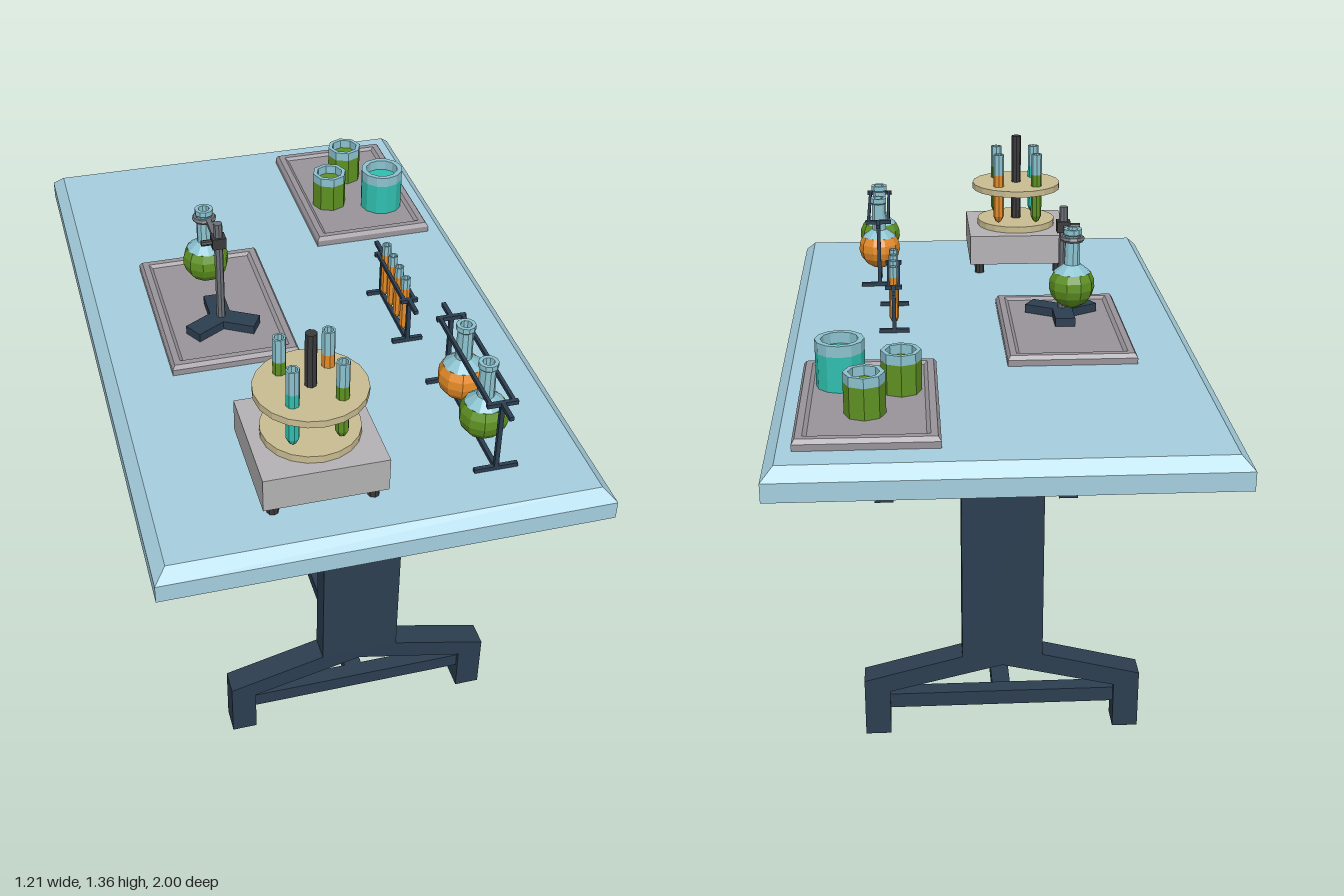
import * as THREE from 'three';

const mat = (color, double = false) => new THREE.MeshStandardMaterial({
  color, flatShading: true, side: double ? THREE.DoubleSide : THREE.FrontSide });
const M = {
  top: mat(0xa6cfdf), leg: mat(0x2c3e50), tray: mat(0x98949a), box: mat(0xb4b2b4),
  wood: mat(0xcabd92), dark: mat(0x3a3a3c), steel: mat(0x6c7076), glass: mat(0x8cc3d0, true),
  green: mat(0x5f9222), teal: mat(0x30c0b0), orange: mat(0xe58c28),
};
const TOP = 0.925; // work surface height

function add(parent, name, geo, material, x = 0, y = 0, z = 0) {
  const m = new THREE.Mesh(geo, material);
  m.name = name;
  m.position.set(x, y, z);
  parent.add(m);
  return m;
}
function group(parent, name, x = 0, y = 0, z = 0) {
  const g = new THREE.Group();
  g.name = name;
  g.position.set(x, y, z);
  parent.add(g);
  return g;
}
const box = (w, h, d) => new THREE.BoxGeometry(w, h, d);
const cyl = (r, h, n = 8) => new THREE.CylinderGeometry(r, r, h, n);
const lathe = (pts, n) => new THREE.LatheGeometry(pts.map(p => new THREE.Vector2(...p)), n);

// Rectangular loops [halfX, halfZ, y] joined into a closed skin
function rectLoft(levels) {
  const pos = [], idx = [];
  for (const [hx, hz, y] of levels) pos.push(-hx, y, hz, hx, y, hz, hx, y, -hz, -hx, y, -hz);
  const last = (levels.length - 1) * 4;
  for (let b = 0; b < last; b += 4) {
    for (let i = 0; i < 4; i++) {
      const j = (i + 1) % 4;
      idx.push(b + i, b + j, b + 4 + j, b + i, b + 4 + j, b + 4 + i);
    }
  }
  idx.push(0, 2, 1, 0, 3, 2, last, last + 1, last + 2, last, last + 2, last + 3);
  const g = new THREE.BufferGeometry();
  g.setAttribute('position', new THREE.Float32BufferAttribute(pos, 3));
  g.setIndex(idx);
  const flat = g.toNonIndexed();
  flat.computeVertexNormals();
  return flat;
}

// Trestle end: arched foot and slightly tapering column
function trestleGeometry() {
  const half = [[0.38, 0], [0.38, 0.17], [0.11, 0.24], [0.11, 0.845]];
  const arch = [[0, 0.21], [0.31, 0.135], [0.31, 0]];
  const pts = [...arch, ...half, ...half.slice().reverse().map(([x, y]) => [-x, y]), [-0.31, 0], [-0.31, 0.135]];
  const g = new THREE.ExtrudeGeometry(new THREE.Shape(pts.map(p => new THREE.Vector2(...p))),
    { depth: 0.07, bevelEnabled: false });
  g.translate(0, 0, -0.035);
  const p = g.attributes.position;
  for (let i = 0; i < p.count; i++) {
    p.setZ(i, p.getZ(i) * (1 - 0.2 * Math.max(0, p.getY(i) - 0.24)));
  }
  g.computeVertexNormals();
  return g;
}

function tray(parent, x, z) {
  add(parent, 'tray', rectLoft([[0.186, 0.281, 0], [0.186, 0.281, 0.018], [0.178, 0.273, 0.03],
    [0.16, 0.255, 0.03], [0.15, 0.245, 0.022]]), M.tray, x, TOP, z);
}

// Round flask: filled bulb, clear shoulder, neck with lip. Origin at bulb centre
function flask(parent, liquid, x, y, z) {
  const g = group(parent, 'flask', x, y, z);
  const r = 0.068, a = Math.PI * 0.3;
  add(g, 'flaskLiquid', new THREE.SphereGeometry(r, 10, 6, 0, Math.PI * 2, a, Math.PI - a), liquid);
  add(g, 'liquidSurface', new THREE.CircleGeometry(r * Math.sin(a), 10).rotateX(-Math.PI / 2),
    liquid, 0, r * Math.cos(a));
  add(g, 'flaskNeck', lathe([[r * Math.sin(a), r * Math.cos(a)], [0.024, 0.064], [0.022, 0.15],
    [0.027, 0.155], [0.027, 0.17], [0.016, 0.17], [0.016, 0.06]], 10), M.glass);
}

// Test tube with its rounded tip at y = 0
function testTube(parent, liquid, r, h, fill, x, y, z) {
  const g = group(parent, 'testTube', x, y, z);
  add(g, 'tubeLiquid', lathe([[0, 0], [r * 0.6, r * 0.4], [r, r * 1.3], [r, fill], [0, fill]], 8), liquid);
  add(g, 'tubeGlass', lathe([[r, fill], [r, h], [r * 0.7, h], [r * 0.7, fill]], 8), M.glass);
}

function beaker(parent, liquid, r, h, n, x, z) {
  const g = group(parent, 'beaker', x, TOP + 0.022, z);
  const fill = h * 0.76;
  add(g, 'beakerLiquid', lathe([[0, 0], [r, 0], [r, fill], [0, fill]], n), liquid);
  add(g, 'beakerGlass', lathe([[r, fill], [r, h], [r * 0.76, h], [r * 0.76, fill]], n), M.glass);
}

// Wire rack: feet, uprights, paired rails and end handles
function rack(parent, x, z, len, h, foot, railGap, handle) {
  const g = group(parent, 'rack', x, TOP, z);
  const t = 0.012;
  add(g, 'bottomRail', box(t, t, len), M.leg, 0, t / 2, 0);
  for (const s of [-1, 1]) {
    add(g, 'foot', box(foot * 2, t, t), M.leg, 0, t / 2, s * len / 2);
    add(g, 'upright', box(t, h, t), M.leg, 0, h / 2, s * len / 2);
    add(g, 'crossbar', box(railGap * 2 + 0.02, t, t), M.leg, 0, h, s * len / 2);
    add(g, 'topRail', box(t * 0.8, t, len), M.leg, s * railGap, h, 0);
    add(g, 'handle', box(t, t, handle), M.leg, 0, h, s * (len + handle) / 2);
  }
}

export function createModel() {
  const model = new THREE.Group();
  model.name = 'laboratoryTable';

  // Table
  add(model, 'tableTop', rectLoft([[0.605, 1, 0.84], [0.605, 1, 0.892], [0.572, 0.967, TOP]]), M.top);
  const trestle = trestleGeometry();
  for (const s of [-1, 1]) {
    add(model, 'trestleLeg', trestle, M.leg, 0, 0, s * 0.725);
    add(model, 'footCrossbar', box(0.63, 0.043, 0.045), M.leg, 0, 0.097, s * 0.725);
  }
  add(model, 'stretcher', box(0.05, 0.04, 1.42), M.leg, 0, 0.096, 0);

  // Tray with beakers
  tray(model, 0.348, -0.607);
  beaker(model, M.green, 0.055, 0.115, 8, 0.355, -0.703);
  beaker(model, M.green, 0.055, 0.115, 8, 0.26, -0.547);
  beaker(model, M.teal, 0.067, 0.132, 12, 0.424, -0.498);

  // Tray with clamp stand
  tray(model, -0.227, -0.052);
  const stand = group(model, 'clampStand', -0.232, TOP + 0.022, 0.04);
  for (let i = 0; i < 3; i++) {
    const arm = group(stand, 'standArm');
    arm.rotation.y = i * Math.PI * 2 / 3;
    add(arm, 'standFoot', box(0.06, 0.026, 0.11), M.leg, 0, 0.015, -0.055);
  }
  add(stand, 'standRod', cyl(0.013, 0.34), M.steel, 0, 0.173, 0);
  add(stand, 'clampBlock', box(0.04, 0.034, 0.036), M.dark, 0, 0.283, 0);
  add(stand, 'clampArm', box(0.014, 0.014, 0.12), M.steel, -0.005, 0.283, -0.06);
  add(stand, 'clampScrew', cyl(0.009, 0.05).rotateZ(Math.PI / 2), M.dark, -0.025, 0.283, 0);
  add(stand, 'clampRing', new THREE.TorusGeometry(0.028, 0.008, 6, 10).rotateX(Math.PI / 2),
    M.steel, -0.013, 0.283, -0.137);
  flask(model, M.green, -0.245, 1.09, -0.097);

  // Flask rack and test tube rack
  rack(model, 0.33, 0.635, 0.39, 0.217, 0.06, 0.032, 0.065);
  flask(model, M.orange, 0.33, 1.025, 0.55);
  flask(model, M.green, 0.33, 1.025, 0.72);
  rack(model, 0.281, 0.104, 0.255, 0.142, 0.045, 0.015, 0.065);
  for (let i = 0; i < 4; i++) {
    testTube(model, M.orange, 0.014, 0.178, 0.145, 0.281, 0.943, 0.012 + i * 0.061);
  }

  // Heating block with tube carousel
  const heater = group(model, 'heater', -0.14, TOP, 0.71);
  add(heater, 'heaterBody', box(0.33, 0.098, 0.33), M.box, 0, 0.084, 0);
  for (const sx of [-1, 1]) for (const sz of [-1, 1]) {
    add(heater, 'heaterFoot', cyl(0.016, 0.038), M.dark, sx * 0.133, 0.018, sz * 0.133);
  }
  add(heater, 'lowerDisc', cyl(0.132, 0.022, 20), M.wood, 0, 0.143, 0);
  add(heater, 'upperDisc', cyl(0.149, 0.02, 20), M.wood, 0, 0.27, 0);
  add(heater, 'carouselRod', cyl(0.016, 0.29), M.dark, 0, 0.293, 0);
  const liquids = [[-1, -1, M.green], [1, -1, M.orange], [-1, 1, M.teal], [1, 1, M.green]];
  for (const [sx, sz, liquid] of liquids) {
    testTube(heater, liquid, 0.018, 0.235, 0.165, sx * 0.064, 0.154, sz * 0.068);
  }
  return model;
}
